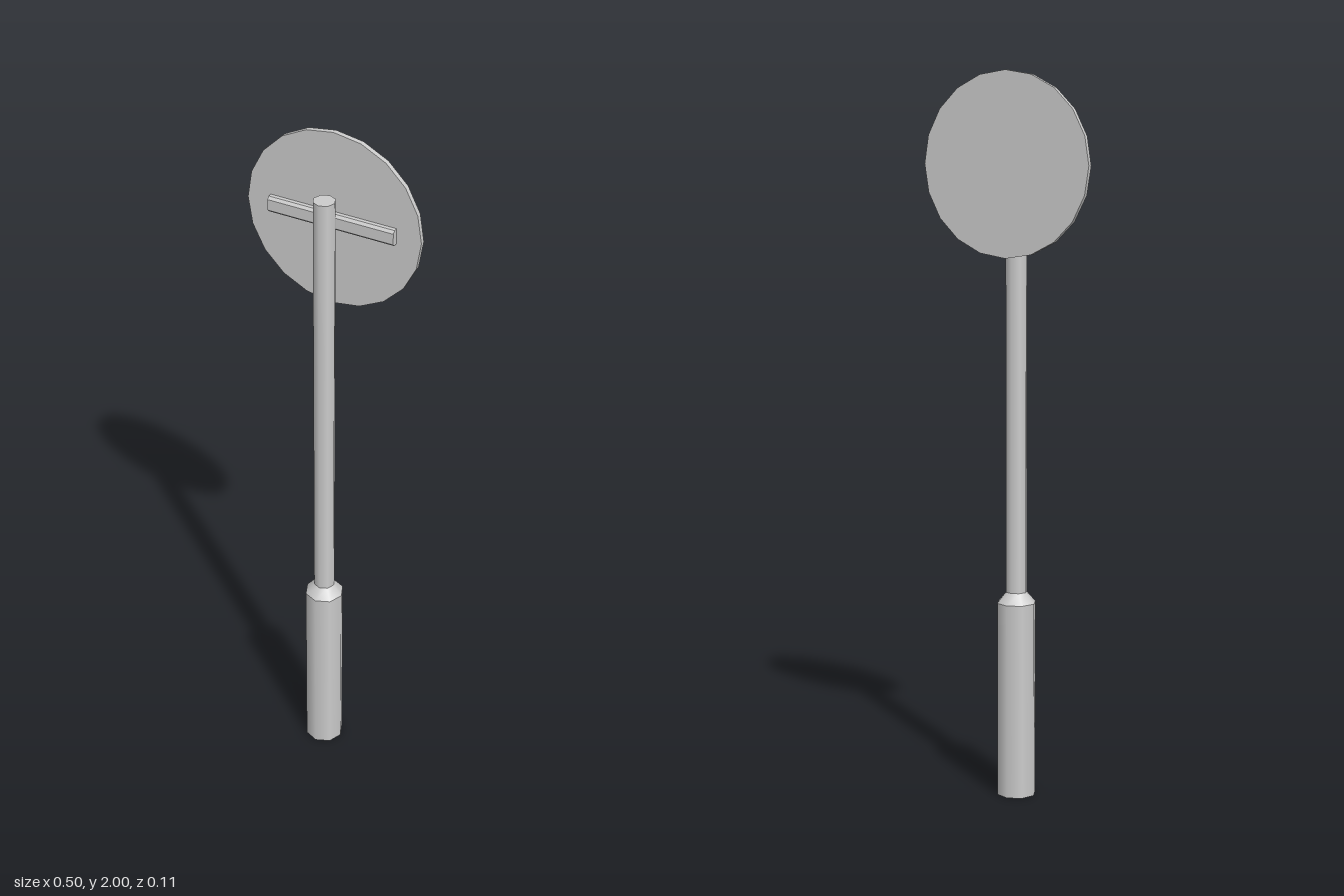
import * as THREE from 'three';

export function createModel() {
  const model = new THREE.Group();
  model.name = 'roadsideSign';
  const material = new THREE.MeshStandardMaterial({ color: 0xcccccc });
  const openMaterial = new THREE.MeshStandardMaterial({ color: 0xcccccc, side: THREE.DoubleSide });

  function add(name, geometry, x, y, z, mat = material) {
    const mesh = new THREE.Mesh(geometry, mat);
    mesh.name = name;
    mesh.position.set(x, y, z);
    model.add(mesh);
    return mesh;
  }

  // Upright: octagonal sleeve (open below), sloping shoulder and slim pole
  const postX = -0.003, sides = 8;
  const sleeveR = 0.055, poleR = 0.03;
  const sleeveTop = 0.547, shoulderTop = 0.577, poleTop = 1.827;
  function tube(name, rTop, rBottom, y0, y1) {
    const geometry = new THREE.CylinderGeometry(rTop, rBottom, y1 - y0, sides, 1, true);
    add(name, geometry, postX, (y0 + y1) / 2, 0, openMaterial);
  }
  tube('baseSleeve', sleeveR, sleeveR, 0, sleeveTop);
  tube('sleeveShoulder', poleR, sleeveR, sleeveTop, shoulderTop);
  tube('pole', poleR, poleR, shoulderTop, poleTop);

  // Flat lid closing the pole
  const cap = new THREE.CircleGeometry(poleR, sides).rotateX(-Math.PI / 2);
  add('poleCap', cap, postX, poleTop, 0);

  // Round sign plate behind the pole
  const plate = new THREE.CylinderGeometry(0.25, 0.25, 0.014, 20).rotateX(Math.PI / 2);
  add('signPlate', plate, 0, 1.75, -0.05);

  // Mounting rail with bevelled front edges, extruded along x
  const depth = 0.018, halfHeight = 0.0225, bevel = 0.007, length = 0.362;
  const profile = new THREE.Shape([
    [0, bevel - halfHeight], [bevel, -halfHeight], [depth, -halfHeight],
    [depth, halfHeight], [bevel, halfHeight], [0, halfHeight - bevel],
  ].map(([x, y]) => new THREE.Vector2(x, y)));
  const rail = new THREE.ExtrudeGeometry(profile, { depth: length, bevelEnabled: false });
  rail.translate(0, 0, -length / 2).rotateY(Math.PI / 2);
  add('mountingRail', rail, -0.001, 1.7525, -0.025);

  return model;
}
